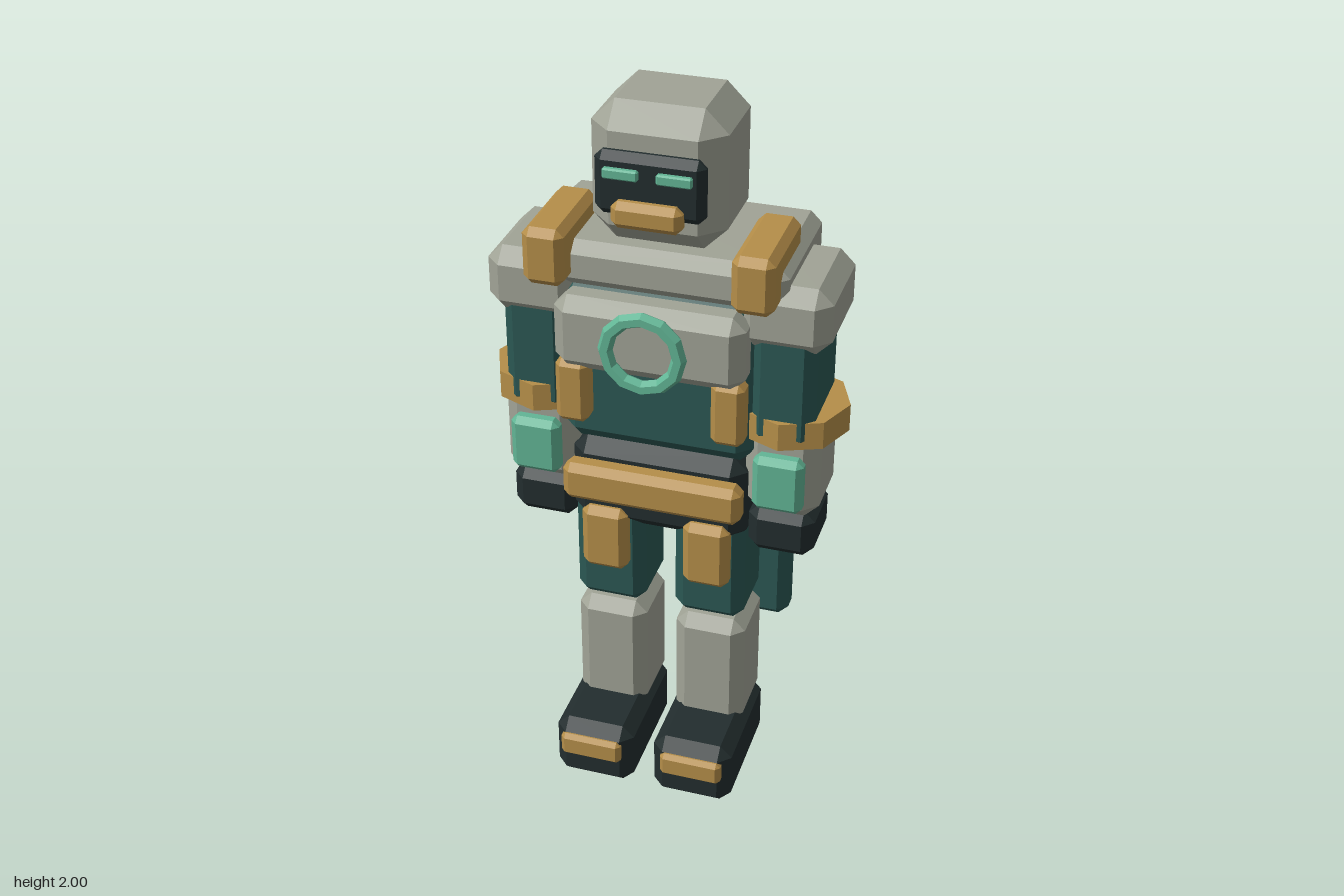
import * as THREE from 'three';
import { ConvexGeometry } from 'three/addons/geometries/ConvexGeometry.js';

const material = (color) => new THREE.MeshStandardMaterial({ color, flatShading: true });

// Box given by its limits, with every edge and corner cut off by c
function chamferBox([x0, x1], [y0, y1], [z0, z1], c) {
  const h = [(x1 - x0) / 2, (y1 - y0) / 2, (z1 - z0) / 2];
  const points = [];
  for (const sx of [-1, 1]) for (const sy of [-1, 1]) for (const sz of [-1, 1]) {
    for (let axis = 0; axis < 3; axis++) {
      const [x, y, z] = h.map((v, i) => (i === axis ? v : v - c));
      points.push(new THREE.Vector3(sx * x, sy * y, sz * z));
    }
  }
  return new ConvexGeometry(points).translate((x0 + x1) / 2, (y0 + y1) / 2, (z0 + z1) / 2);
}

export function createModel() {
  const model = new THREE.Group();
  model.name = 'armouredFigure';
  const grey = material(0xa0a396);
  const teal = material(0x2b5753);
  const black = material(0x222d2e);
  const gold = material(0xb58e49);
  const mint = material(0x62b595);

  const add = (name, geometry, mat) => {
    const mesh = new THREE.Mesh(geometry, mat);
    mesh.name = name;
    model.add(mesh);
    return mesh;
  };
  const box = (name, mat, x, y, z, c) => add(name, chamferBox(x, y, z, c), mat);
  // Part centred on x = 0
  const middle = (name, mat, halfX, y, z, c) => box(name, mat, [-halfX, halfX], y, z, c);
  // Left part and its mirror image
  const pair = (name, mat, [a, b], y, z, c) => {
    box('left' + name, mat, [a, b], y, z, c);
    box('right' + name, mat, [-b, -a], y, z, c);
  };

  // Head and face
  middle('head', grey, 0.173, [1.635, 2.0], [-0.19, 0.117], 0.06);
  middle('visor', black, 0.14, [1.735, 1.9], [0.105, 0.153], 0.02);
  middle('mouthGuard', gold, 0.09, [1.715, 1.785], [0.13, 0.182], 0.017);
  pair('Eye', mint, [0.023, 0.112], [1.838, 1.865], [0.14, 0.167], 0.004);

  // Torso and chest
  middle('collar', grey, 0.34, [1.505, 1.63], [-0.27, 0.12], 0.03);
  middle('torso', teal, 0.268, [1.04, 1.54], [-0.19, 0.11], 0.05);
  middle('chestPlate', grey, 0.25, [1.3, 1.505], [0.07, 0.185], 0.035);
  const ring = add('chestRing', new THREE.TorusGeometry(0.096, 0.02, 6, 12), mint);
  ring.position.set(0, 1.4, 0.208);
  pair('RibPlate', gold, [0.163, 0.25], [1.14, 1.32], [0.1, 0.17], 0.016);
  middle('pelvis', black, 0.24, [0.785, 1.045], [-0.165, 0.1], 0.04);
  middle('belt', gold, 0.243, [0.89, 1.0], [0.09, 0.162], 0.02);

  // Shoulders and arms
  pair('ShoulderStrap', gold, [0.213, 0.322], [1.53, 1.685], [-0.1, 0.184], 0.02);
  pair('ShoulderPad', grey, [0.21, 0.45], [1.4, 1.58], [-0.192, 0.12], 0.04);
  pair('UpperArm', teal, [0.245, 0.415], [1.12, 1.46], [-0.165, 0.1], 0.03);
  pair('Forearm', grey, [0.23, 0.43], [0.89, 1.19], [-0.153, 0.085], 0.04);
  pair('ForearmPanel', mint, [0.264, 0.398], [0.935, 1.095], [0.07, 0.125], 0.017);
  pair('Hand', black, [0.24, 0.42], [0.76, 0.9], [-0.135, 0.07], 0.03);
  for (const [side, s] of [['left', 1], ['right', -1]]) {
    const band = new THREE.CylinderGeometry(0.152, 0.152, 0.077, 8);
    add(side + 'ElbowBand', band, gold).position.set(s * 0.33, 1.163, -0.034);
  }

  // Legs and feet
  pair('Thigh', teal, [0.042, 0.237], [0.525, 0.9], [-0.13, 0.085], 0.03);
  pair('ThighPouch', gold, [0.078, 0.205], [0.655, 0.85], [0.06, 0.127], 0.02);
  pair('Shin', grey, [0.043, 0.24], [0.15, 0.507], [-0.145, 0.08], 0.033);
  pair('Boot', black, [0.03, 0.255], [0, 0.193], [-0.13, 0.25], 0.033);
  pair('ToeCap', gold, [0.058, 0.233], [0.088, 0.16], [0.21, 0.266], 0.012);

  // Panels hanging behind the legs
  pair('HipPanel', teal, [0.16, 0.312], [0.4, 0.905], [-0.226, -0.13], 0.028);
  pair('HipPanelStripe', gold, [0.208, 0.264], [0.43, 0.873], [-0.235, -0.2], 0.01);

  return model;
}
